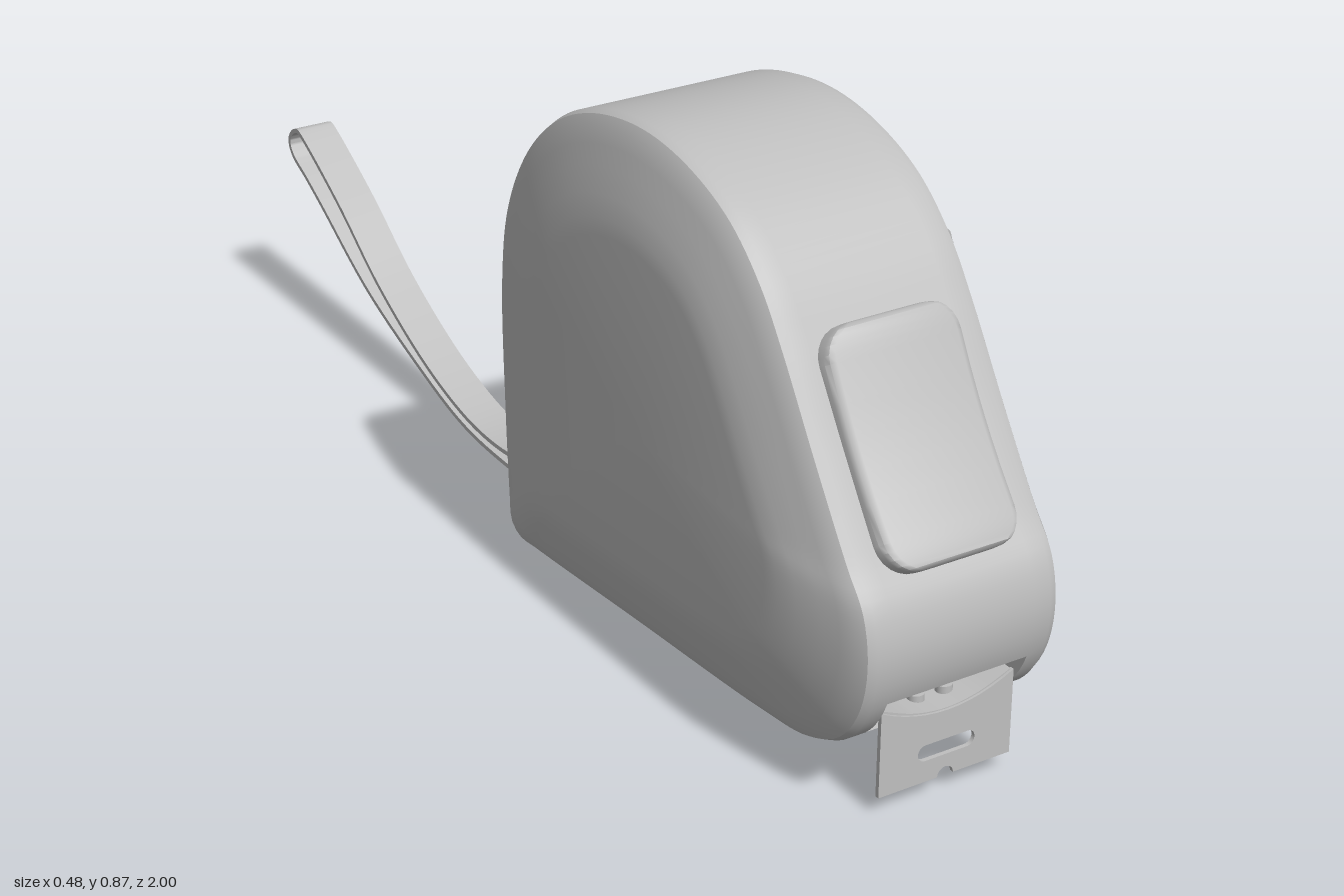
import * as THREE from 'three';
import { toCreasedNormals } from 'three/addons/utils/BufferGeometryUtils.js';

const MID = -0.033; // centre plane of the case

// Skin a series of equal-length rings and cap both ends.
function loft(rings, crease) {
  const pos = [], n = rings[0].length;
  const tri = (...ps) => ps.forEach(p => pos.push(p.x, p.y, p.z));
  for (let i = 0; i < rings.length - 1; i++) {
    const r = rings[i], s = rings[i + 1];
    for (let j = 0; j < n; j++) {
      const k = (j + 1) % n;
      if (r[j].distanceTo(s[j]) + r[k].distanceTo(s[k]) < 1e-6) continue;
      tri(r[j], r[k], s[j]);
      tri(r[k], s[k], s[j]);
    }
  }
  [rings[0], rings[rings.length - 1]].forEach((r, end) => {
    const c = r.reduce((a, p) => a.add(p), new THREE.Vector3()).divideScalar(n);
    for (let j = 0; j < n; j++) {
      const k = (j + 1) % n;
      if (end) tri(c, r[j], r[k]); else tri(c, r[k], r[j]);
    }
  });
  const g = new THREE.BufferGeometry();
  g.setAttribute('position', new THREE.Float32BufferAttribute(pos, 3));
  return toCreasedNormals(g, crease);
}

// Bent strip: a smooth path in XY given thickness, extruded along z.
function ribbon(points, thickness, width, steps = 40) {
  const curve = new THREE.SplineCurve(points.map(p => new THREE.Vector2(...p)));
  const left = [], right = [];
  for (let i = 0; i <= steps; i++) {
    const p = curve.getPoint(i / steps), t = curve.getTangent(i / steps);
    const off = new THREE.Vector2(-t.y, t.x).multiplyScalar(thickness / 2);
    left.push(p.clone().add(off));
    right.unshift(p.clone().sub(off));
  }
  const g = new THREE.ExtrudeGeometry(new THREE.Shape([...left, ...right]), { depth: width, bevelEnabled: false });
  return toCreasedNormals(g, 0.6);
}

// Upright slot outline with round ends; half-length is along y.
function slot(cx, cy, r, half, sideways = false) {
  const p = new THREE.Path(), s = half - r;
  if (sideways) {
    p.absarc(cx + s, cy, r, -Math.PI / 2, Math.PI / 2);
    p.absarc(cx - s, cy, r, Math.PI / 2, Math.PI * 1.5);
  } else {
    p.absarc(cx, cy + s, r, 0, Math.PI);
    p.absarc(cx, cy - s, r, Math.PI, Math.PI * 2);
  }
  p.closePath();
  return p;
}

const plate = (shape, depth) => new THREE.ExtrudeGeometry(shape, { depth, bevelEnabled: false, curveSegments: 12 });

function caseGeometry() {
  // Side outline as z, y
  const keys = [[0, .47], [.02, .6], [.08, .715], [.17, .8], [.28, .85], [.41, .87], [.53, .855], [.64, .81],
    [.72, .74], [.775, .665], [.86, .53], [.945, .4], [.985, .345], [1, .27], [.985, .19], [.94, .125],
    [.86, .085], [.75, .07], [.4, .05], [.1, .033], [.045, .032], [.02, .05], [.015, .09], [.005, .25]];
  const outline = new THREE.CatmullRomCurve3(keys.map(([z, y]) => new THREE.Vector3(0, y, z)), true)
    .getSpacedPoints(180).slice(0, -1);
  const ring = (x, inset, mouth) => outline.map(p => {
    const s = 1 - inset / 0.44;
    const z = mouth && p.z > .85 && p.y > .12 && p.y < .19 ? .86 : p.z;
    return new THREE.Vector3(x, .42 + (p.y - .42) * s, .48 + (z - .48) * s);
  });
  // Half-width and inset of the rounded flank
  const flank = [[.15, 0], [.163, .005], [.172, .02], [.179, .043], [.188, .072], [.198, .108], [.205, .14], [.207, .165]];
  const rings = [];
  [...flank].reverse().forEach(([w, d]) => rings.push(ring(MID - w, d)));
  // Tape mouth is cut between these two planes
  for (const [x, mouth] of [[MID - .122, false], [MID - .122, true], [MID + .122, true], [MID + .122, false]]) {
    rings.push(ring(x, 0, mouth));
  }
  flank.forEach(([w, d]) => rings.push(ring(MID + w, d)));
  return loft(rings, 0.6);
}

function buttonGeometry() {
  const L = .178, W = .116, R = .05, rings = [];
  const stops = [-1, -.99, -.96, -.92, -.86, -.79, -.72, -.4, -.15, 0, .15, .4, .72, .79, .86, .92, .96, .99, 1];
  for (const s of stops) {
    const v = s * L, e = Math.max(0, Math.abs(v) - (L - R));
    const w = W - R + Math.sqrt(Math.max(0, R * R - e * e));
    const h = -.013 * (1 - s * s) - (Math.abs(s) === 1 ? .012 : Math.abs(s) > .98 ? .006 : 0);
    rings.push([[-w, -.06], [-w, h - .012], [-w + .004, h - .004], [-w + .013, h], [w - .013, h],
      [w - .004, h - .004], [w, h - .012], [w, -.06]].map(([x, z]) => new THREE.Vector3(x, v, z)));
  }
  return loft(rings, 0.7);
}

export function createModel() {
  const model = new THREE.Group();
  model.name = 'tapeMeasure';
  const grey = new THREE.MeshStandardMaterial({ color: 0xbfbfbf, side: THREE.DoubleSide });
  grey.name = 'grey';
  const add = (name, geometry, x = 0, y = 0, z = 0, parent = model) => {
    const m = new THREE.Mesh(geometry, grey);
    m.name = name;
    m.position.set(x, y, z);
    parent.add(m);
    return m;
  };

  add('case', caseGeometry());
  add('lockButton', buttonGeometry(), MID, .541, .893).rotation.x = -.565;

  // Domed foot under the nose
  add('foot', new THREE.SphereGeometry(1, 32, 20).scale(.11, .05, .09), MID, .05, .68);

  // Tape blade and its end hook
  const tape = new THREE.Group();
  tape.name = 'tape';
  model.add(tape);
  add('blade', ribbon([[-.145, .166], [-.09, .145], [MID, .137], [.025, .145], [.08, .166]], .005, .115), 0, 0, .85, tape);
  const hook = new THREE.Shape();
  hook.moveTo(-.15, .03);
  hook.lineTo(MID - .018, .03);
  hook.absarc(MID, .03, .014, Math.PI, 0, true);
  hook.lineTo(.082, .03);
  hook.lineTo(.082, .168);
  hook.quadraticCurveTo(MID, .108, -.15, .168);
  hook.closePath();
  hook.holes.push(slot(MID, .078, .013, .05, true));
  add('endHook', plate(hook, .007), 0, 0, .962, tape);
  for (const x of [-.025, .025]) add('rivet', new THREE.CylinderGeometry(.013, .013, .016, 16), MID + x, .144, .925, tape);

  // Belt clip: sprung loop, slotted leaf and flared lip
  const clip = new THREE.Group();
  clip.name = 'beltClip';
  model.add(clip);
  add('clipSpring', ribbon([[.179, .36], [.179, .45], [.179, .55], [.18, .645], [.187, .672], [.205, .684],
    [.222, .677], [.2285, .658]], .005, .26), 0, 0, .335, clip);
  const leaf = new THREE.Shape([[-.122, 0], [.128, 0], [.13, .367], [-.13, .367]].map(p => new THREE.Vector2(...p)));
  leaf.holes.push(slot(.005, .185, .05, .095));
  add('clipLeaf', plate(leaf, .005).rotateY(-Math.PI / 2).rotateZ(-.117), .188, .295, .467, clip);
  const lip = new THREE.Shape();
  lip.moveTo(-.122, .104);
  lip.lineTo(-.115, .03);
  lip.quadraticCurveTo(0, -.03, .128, .03);
  lip.lineTo(.128, .104);
  lip.closePath();
  add('clipLip', plate(lip, .005).rotateY(-Math.PI / 2).rotateZ(.524), .237, .205, .467, clip);
  add('clipStud', new THREE.CylinderGeometry(.033, .033, .03, 24).rotateZ(Math.PI / 2), .175, .447, .47, clip);

  // Screw wells on the clip side
  const well = new THREE.LatheGeometry([[0, -.012], [.029, -.012], [.031, .003], [.04, .003], [.04, -.04]]
    .map(p => new THREE.Vector2(...p)), 28).rotateZ(-Math.PI / 2);
  add('frontScrew', toCreasedNormals(well, .5), .168, .265, .8);
  add('rearScrew', toCreasedNormals(well, .5), .154, .09, .09);

  // Wrist strap, one loop of webbing trailing from the rear
  const strap = new THREE.Group();
  strap.name = 'wristStrap';
  model.add(strap);
  const path = [[.05, .027], [-.1, .019], [-.2, .014], [-.35, .025], [-.5, .068], [-.7, .148], [-.87, .25], [-.93, .285],
    [-.98, .312], [-.994, .34], [-.97, .365], [-.935, .357], [-.8, .275], [-.66, .175], [-.5, .092], [-.35, .045],
    [-.22, .036], [-.12, .057], [-.06, .08], [.02, .105]];
  add('webbing', ribbon(path, .008, .07, 120).rotateY(-Math.PI / 2), 0, 0, 0, strap);
  add('strapWeb', new THREE.BoxGeometry(.068, .066, .008), -.035, .055, -.04, strap).rotation.x = -.3;
  add('strapPin', new THREE.CylinderGeometry(.012, .012, .09, 16).rotateZ(Math.PI / 2), -.035, .06, .008, strap);

  return model;
}
